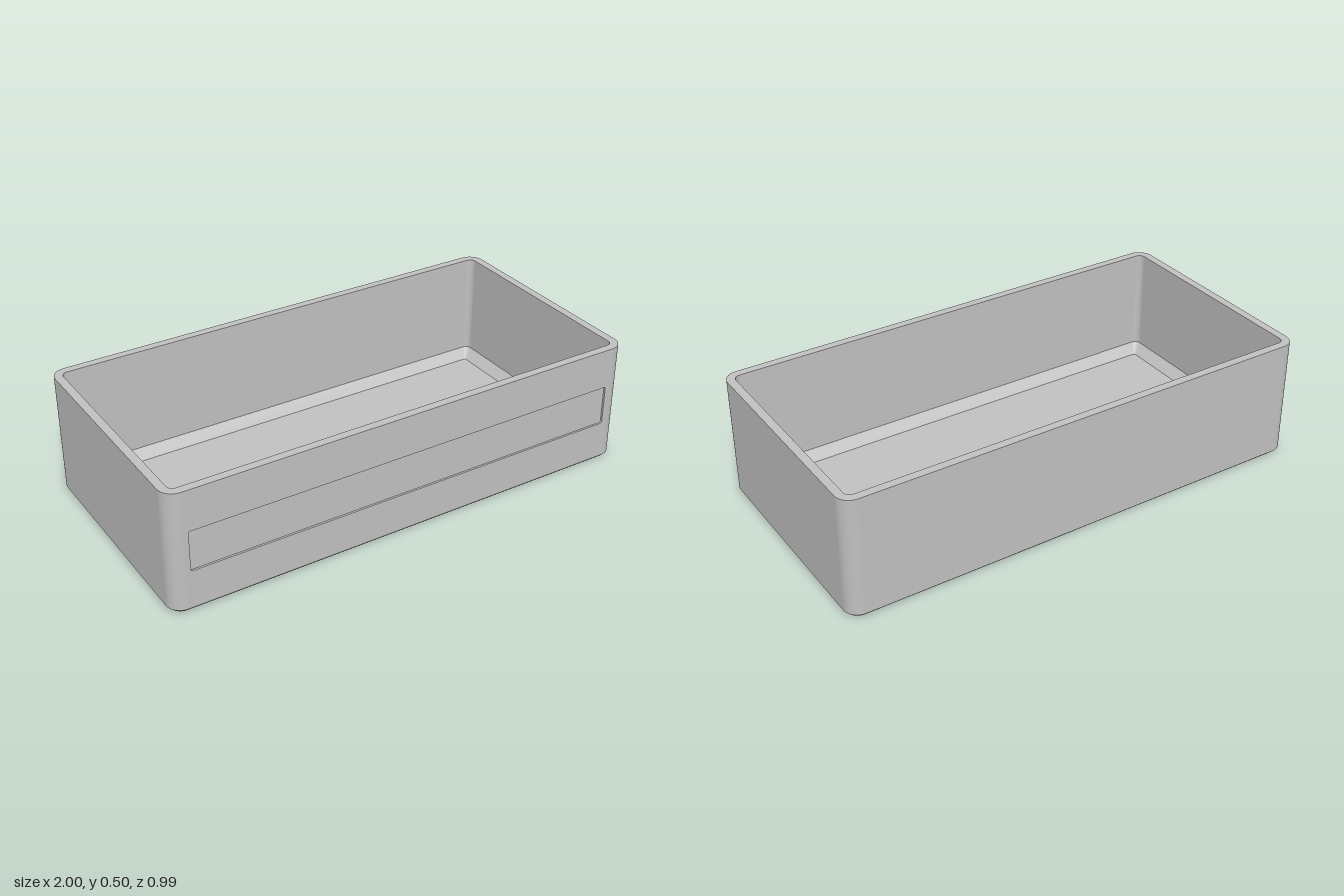
import * as THREE from 'three';

const STEPS = 10; // segments per rounded corner

// Rounded rectangle loop [x, z, angle]; the closing segment is the +z side
function ring({ w, d, r }) {
  const points = [];
  for (let corner = 1; corner <= 4; corner++) {
    const mid = (corner + 0.5) * Math.PI / 2;
    const cx = Math.sign(Math.cos(mid)) * (w - r);
    const cz = Math.sign(Math.sin(mid)) * (d - r);
    for (let i = 0; i <= STEPS; i++) {
      const a = (corner + i / STEPS) * Math.PI / 2;
      points.push([cx + r * Math.cos(a), cz + r * Math.sin(a), a]);
    }
  }
  return points;
}

// Loft through rounded rectangles, with a crisp edge at every section
function loft(sections, openBand = -1) {
  const pos = [], nor = [], index = [];
  for (let s = 0; s < sections.length - 1; s++) {
    const pair = [sections[s], sections[s + 1]];
    const out = pair[1].w - pair[0].w, rise = pair[1].y - pair[0].y;
    const len = Math.hypot(out, rise);
    const base = pos.length / 3;
    const rings = pair.map(ring), n = rings[0].length;
    rings.forEach((loop, k) => loop.forEach(([x, z, a]) => {
      pos.push(x, pair[k].y, z);
      nor.push(Math.cos(a) * rise / len, -out / len, Math.sin(a) * rise / len);
    }));
    const count = s === openBand ? n - 1 : n;
    for (let i = 0; i < count; i++) {
      const a = base + i, b = base + (i + 1) % n;
      index.push(a, a + n, b, b, a + n, b + n);
    }
  }
  const geometry = new THREE.BufferGeometry();
  geometry.setAttribute('position', new THREE.Float32BufferAttribute(pos, 3));
  geometry.setAttribute('normal', new THREE.Float32BufferAttribute(nor, 3));
  geometry.setIndex(index);
  return geometry;
}

export function createModel() {
  const group = new THREE.Group();
  const plastic = new THREE.MeshStandardMaterial({ color: 0xc0c0c0 });
  plastic.name = 'grey plastic';
  const add = (name, geometry) => {
    const mesh = new THREE.Mesh(geometry, plastic);
    mesh.name = name;
    group.add(mesh);
    return mesh;
  };

  const W = 1, D = 0.497, H = 0.505, R = 0.06, chamfer = 0.014;

  // Open tray: underside, chamfer, walls, rim, inside, sloped foot, floor
  add('tray', loft([
    { w: 0, d: 0, r: 0, y: 0 },
    { w: W - chamfer, d: D - chamfer, r: R - chamfer, y: 0 },
    { w: W, d: D, r: R, y: chamfer },
    { w: W, d: D, r: R, y: H },
    { w: W - 0.034, d: D - 0.034, r: R - 0.034, y: H },
    { w: W - 0.034, d: D - 0.034, r: R - 0.034, y: 0.073 },
    { w: W - 0.073, d: D - 0.073, r: 0.01, y: 0.034 },
    { w: 0, d: 0, r: 0, y: 0.034 },
  ], 2));

  // Front face with the opening for the label recess
  const label = { w: 0.922, d: 0.083, r: 0.008 }, labelY = 0.254, depth = 0.008;
  const face = new THREE.Shape([
    new THREE.Vector2(-W + R, chamfer), new THREE.Vector2(W - R, chamfer),
    new THREE.Vector2(W - R, H), new THREE.Vector2(-W + R, H),
  ]);
  face.holes.push(new THREE.Path(ring(label).map(([x, z]) => new THREE.Vector2(x, labelY - z))));
  add('frontFace', new THREE.ShapeGeometry(face)).position.z = D;

  // Shallow label recess, lofted upwards and turned to face forward
  const recess = add('labelRecess', loft([
    { ...label, y: D },
    { ...label, y: D - depth },
    { w: 0, d: 0, r: 0, y: D - depth },
  ]));
  recess.rotation.x = Math.PI / 2;
  recess.position.y = labelY;

  return group;
}
